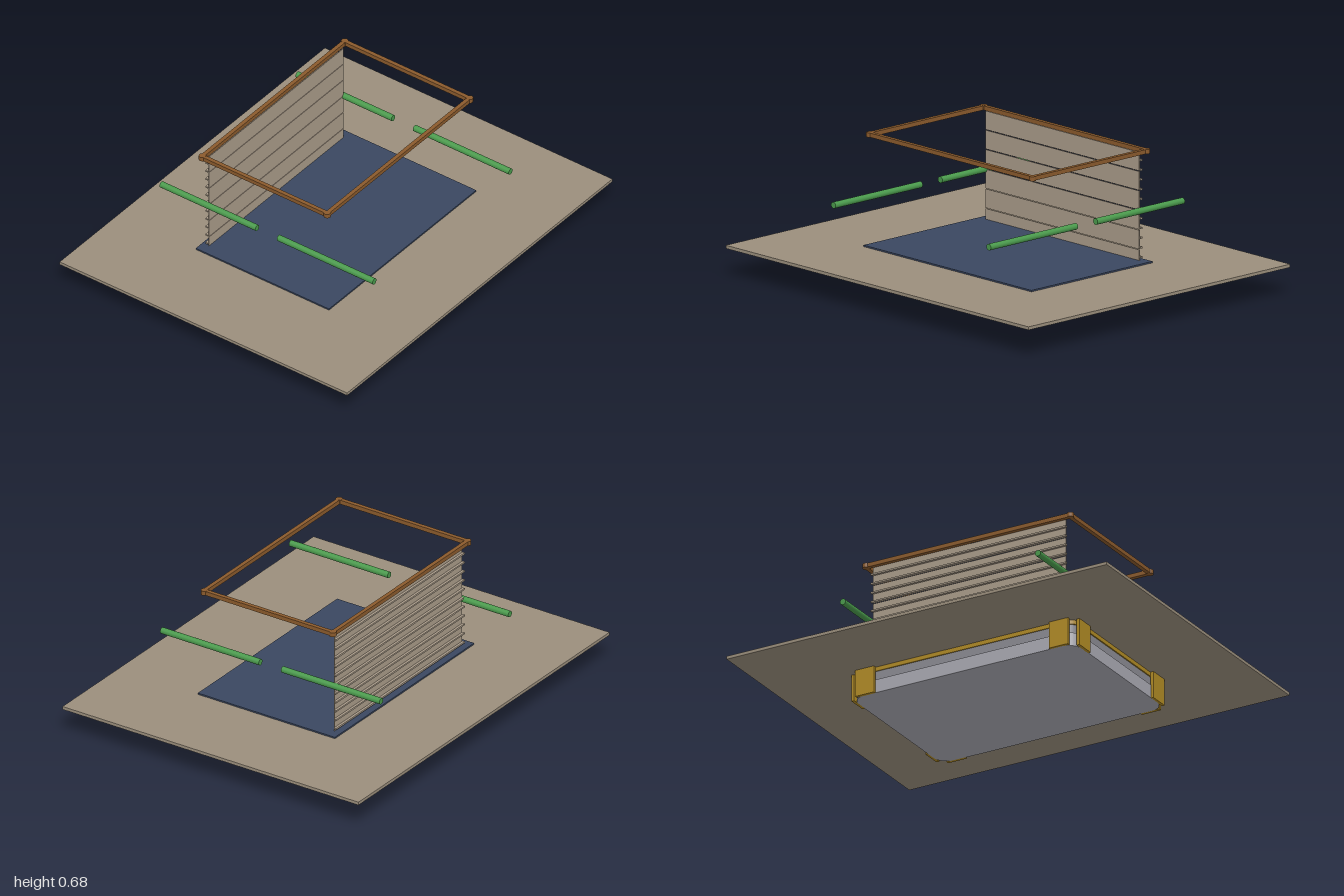
import * as THREE from 'three';

const mat = (color) => new THREE.MeshStandardMaterial({ color });

export function createModel() {
  const model = new THREE.Group();
  const mats = {
    ground: mat(0x9a8e7c), steel: mat(0xa9a9b2), steelDark: mat(0x8a8a92), blue: mat(0x3a4760),
    yellow: mat(0xb08a24), brown: mat(0x8a5a2c), green: mat(0x4a9a4c), panel: mat(0xa99b89),
  };
  const add = (name, geometry, material, x = 0, y = 0, z = 0) => {
    const mesh = new THREE.Mesh(geometry, material);
    mesh.name = name;
    mesh.position.set(x, y, z);
    model.add(mesh);
    return mesh;
  };
  const box = (name, w, h, d, material, x, y, z) =>
    add(name, new THREE.BoxGeometry(w, h, d), material, x, y, z);

  // Slab with rounded corners in plan, standing on y0
  const slab = (name, hx, hz, r, y0, y1, material) => {
    const s = new THREE.Shape();
    s.moveTo(hx, -hz + r);
    s.absarc(hx - r, hz - r, r, 0, Math.PI / 2);
    s.absarc(-hx + r, hz - r, r, Math.PI / 2, Math.PI);
    s.absarc(-hx + r, -hz + r, r, Math.PI, Math.PI * 1.5);
    s.absarc(hx - r, -hz + r, r, Math.PI * 1.5, Math.PI * 2);
    const g = new THREE.ExtrudeGeometry(s, { depth: y1 - y0, bevelEnabled: false, curveSegments: 8 });
    g.rotateX(-Math.PI / 2);
    add(name, g, material, 0, y0, 0);
  };

  // Ground plate and the dark cover on it
  box('groundPlate', 2, 0.015, 1.63, mats.ground, 0, 0.1375, 0);
  box('cover', 1.11, 0.007, 0.755, mats.blue, 0, 0.1485, 0);

  // Stepped tub under the plate
  slab('tubBase', 0.588, 0.403, 0.07, 0, 0.065, mats.steel);
  slab('tubUpper', 0.578, 0.393, 0.06, 0.065, 0.11, mats.steelDark);
  slab('tubRim', 0.584, 0.398, 0.06, 0.11, 0.13, mats.yellow);

  for (const sx of [-1, 1]) {
    for (const sz of [-1, 1]) {
      // Corner brackets: two plates with an open corner
      box('bracketLong', 0.1, 0.13, 0.015, mats.yellow, sx * 0.51, 0.065, sz * 0.4075);
      box('bracketShort', 0.015, 0.13, 0.1, mats.yellow, sx * 0.5925, 0.065, sz * 0.33);

      // Floating side rods
      const rod = new THREE.CylinderGeometry(0.015, 0.015, 0.543, 20);
      rod.rotateX(Math.PI / 2);
      add('sideRod', rod, mats.green, sx * 0.513, 0.387, sz * 0.3325);

      // Corner joints of the top frame
      add('frameJoint', new THREE.CylinderGeometry(0.0165, 0.0165, 0.021, 16),
        mats.brown, sx * 0.537, 0.67, sz * 0.354);
    }
    // Side bars of the top frame
    box('frameSideBar', 0.02, 0.02, 0.708, mats.brown, sx * 0.537, 0.67, 0);
  }
  for (const sz of [-1, 1])
    box('frameLongBar', 1.074, 0.02, 0.02, mats.brown, 0, 0.67, sz * 0.354);

  // Back wall of six boards with thin seams
  const edges = [0.152, 0.205, 0.297, 0.389, 0.481, 0.572, 0.662];
  for (let i = 0; i < 6; i++) {
    const h = edges[i + 1] - edges[i];
    box('wallBoard', 1.014, h - 0.003, 0.004, mats.panel, 0, edges[i] + h / 2, -0.341);
  }

  // Horizontal ribs behind the wall
  for (let i = 0; i < 11; i++)
    box('wallRib', 1.026, 0.008, 0.012, mats.panel, 0, 0.168 + i * 0.0455, -0.349);

  return model;
}
